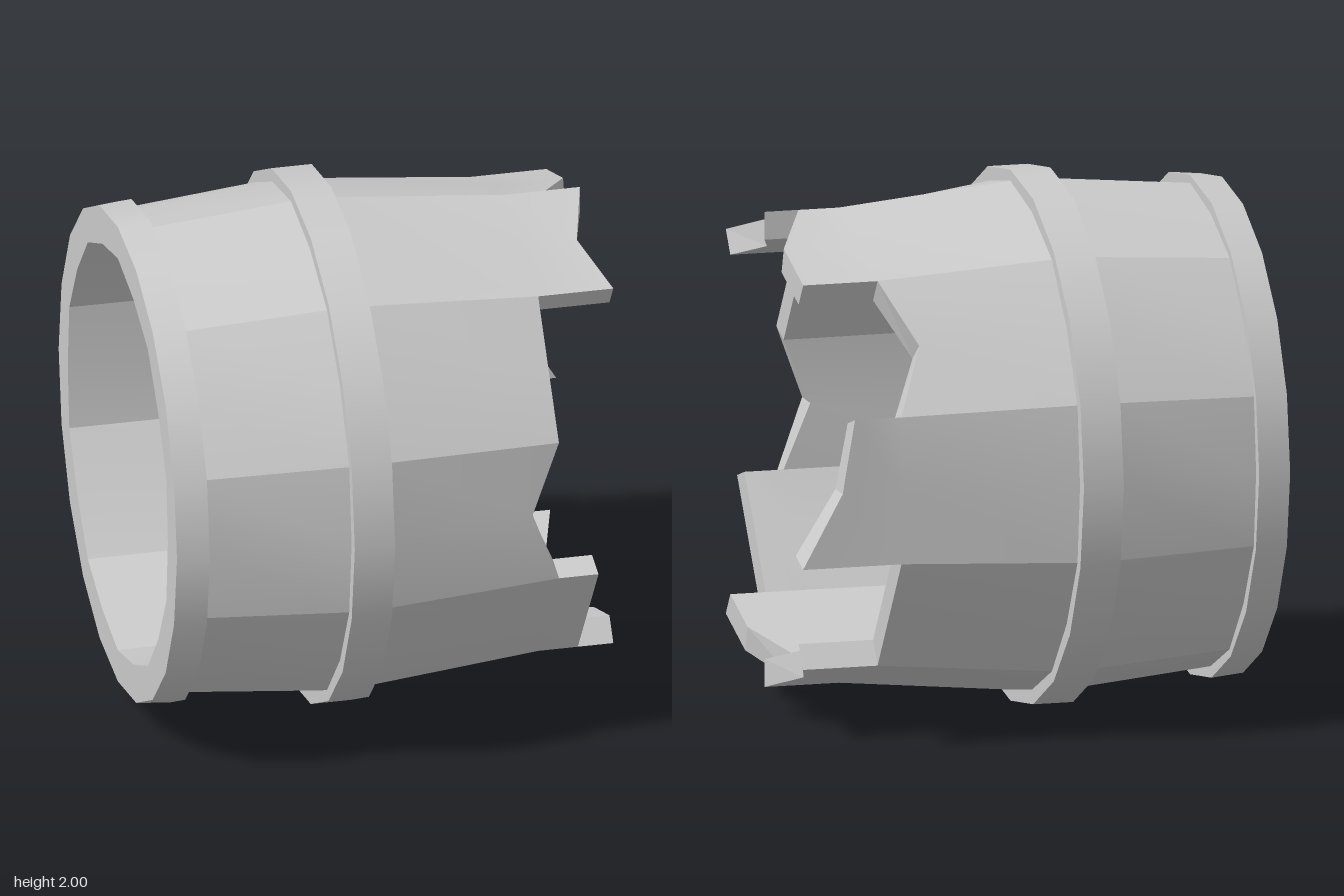
import * as THREE from 'three';
import { mergeGeometries, mergeVertices } from 'three/addons/utils/BufferGeometryUtils.js';

const { mapLinear } = THREE.MathUtils;
const STAVES = 10, STEP = (Math.PI * 2) / STAVES, FLAT = Math.cos(STEP / 2);
const LEFT = -0.922, BELLY = -0.19, RIM = 0.545;
const END_HOOP = { x0: LEFT, x1: -0.8, r0: 0.928, r1: 0.94 };
const MIDDLE_HOOP = { x0: -0.265, x1: -0.112, r0: 1, r1: 1 };

// Broken end of each stave: x at its first edge, middle and second edge,
// going round from the top towards the front.
const ENDS = [
  [0.83, 0.755, 0.83], [RIM, RIM, RIM], [RIM, 0.442, RIM], [0.695, 0.695, 0.695], [0.83, 0.83, 0.70],
  [0.83, 0.755, 0.83], [RIM, RIM, RIM], [0.922, 0.77, 0.723], [RIM, 0.435, RIM], [0.83, 0.83, 0.70],
];

// Bulging outside profile through the radii at the left end, belly and rim
function bulge(x, left, belly, rim) {
  if (x < BELLY) return mapLinear(x, LEFT, BELLY, left, belly);
  return mapLinear(Math.min(x, RIM), BELLY, RIM, belly, rim);
}

function polar(k, column, x, r) {
  const angle = (k + column / 2) * STEP;
  return [x, 1 + r * Math.cos(angle), r * Math.sin(angle)];
}

// Points on stave k: column 0, 1 or 2 across it.
// The middle column bows out on the left and lies flat at the rim.
function outside(k, column, x) {
  return polar(k, column, x, column === 1 ? bulge(x, 0.885, 0.957, 0.895 * FLAT) : bulge(x, 0.90, 0.966, 0.895));
}

// The bore is straight from end to end
function inside(k, column, x) {
  const t = Math.min(x, RIM);
  return polar(k, column, x, column === 1 ? mapLinear(t, LEFT, RIM, 0.785, 0.79 * FLAT) : mapLinear(t, LEFT, RIM, 0.80, 0.79));
}

// Quads as separate triangles; smooth ones share normals
function quadGeometry(quads, smooth) {
  const pos = quads.flatMap(([a, b, c, d]) => [...a, ...b, ...c, ...a, ...c, ...d]);
  let geo = new THREE.BufferGeometry();
  geo.setAttribute('position', new THREE.Float32BufferAttribute(pos, 3));
  if (smooth) geo = mergeVertices(geo);
  geo.computeVertexNormals();
  return smooth ? geo.toNonIndexed() : geo;
}

function staveGeometry(k) {
  const outer = [], inner = [], edges = [];
  const ends = ENDS[k];
  const out = (column, x) => outside(k, column, x);
  const inn = (column, x) => inside(k, column, x);

  for (let h = 0; h < 2; h++) {
    const g = h + 1, e0 = ends[h], e1 = ends[g];
    const m0 = Math.min(RIM, e0), m1 = Math.min(RIM, e1);
    // outer skin from x a to b on one edge and c to d on the other
    const skin = (a, b, c, d) => outer.push([out(h, a), out(g, c), out(g, d), out(h, b)]);
    const bore = (a, b, c, d) => inner.push([inn(h, b), inn(g, d), inn(g, c), inn(h, a)]);
    skin(END_HOOP.x1, MIDDLE_HOOP.x0, END_HOOP.x1, MIDDLE_HOOP.x0);
    skin(MIDDLE_HOOP.x1, m0, MIDDLE_HOOP.x1, m1);
    bore(LEFT, m0, LEFT, m1);
    if (e0 > m0 || e1 > m1) {
      skin(m0, e0, m1, e1);
      bore(m0, e0, m1, e1);
    }
    // broken end, and whole end reaching out to the hoop
    edges.push([inn(h, e0), out(h, e0), out(g, e1), inn(g, e1)]);
    edges.push([inn(g, LEFT), polar(k, g, LEFT, END_HOOP.r0), polar(k, h, LEFT, END_HOOP.r0), inn(h, LEFT)]);
  }

  // exposed sides where the neighbouring stave is shorter
  const side = (column, x0, x1) => edges.push([inn(column, x0), out(column, x0), out(column, x1), inn(column, x1)]);
  const before = ENDS[(k + STAVES - 1) % STAVES][2], after = ENDS[(k + 1) % STAVES][0];
  if (ends[0] > before) side(0, before, ends[0]);
  if (ends[2] > after) side(2, ends[2], after);

  return mergeGeometries([quadGeometry(outer, true), quadGeometry(inner, true), quadGeometry(edges, false)]);
}

// Twenty-sided band, smooth around
function bandGeometry({ x0, x1, r0, r1 }) {
  return new THREE.CylinderGeometry(r1, r0, x1 - x0, 20, 1, true).rotateZ(-Math.PI / 2).translate((x0 + x1) / 2, 1, 0);
}

// Flat rim of a hoop, facing left (-1) or right (1)
function rimGeometry(x, inner, outer, facing) {
  return new THREE.RingGeometry(inner, outer, 20).rotateY((facing * Math.PI) / 2).translate(x, 1, 0);
}

export function createModel() {
  const model = new THREE.Group();
  model.name = 'brokenBarrel';
  const material = new THREE.MeshStandardMaterial({ color: 0xcccccc });
  const add = (name, geometry, parent) => {
    const mesh = new THREE.Mesh(geometry, material);
    mesh.name = name;
    parent.add(mesh);
  };

  // Staves
  const staves = new THREE.Group();
  staves.name = 'staves';
  model.add(staves);
  for (let k = 0; k < STAVES; k++) add(`stave${k + 1}`, staveGeometry(k), staves);

  // Hoops
  add('endHoop', mergeGeometries([
    bandGeometry(END_HOOP),
    rimGeometry(END_HOOP.x1, 0.89, END_HOOP.r1, 1),
  ]), model);
  add('middleHoop', mergeGeometries([
    bandGeometry(MIDDLE_HOOP),
    rimGeometry(MIDDLE_HOOP.x0, 0.94, MIDDLE_HOOP.r0, -1),
    rimGeometry(MIDDLE_HOOP.x1, 0.935, MIDDLE_HOOP.r1, 1),
  ]), model);
  return model;
}
